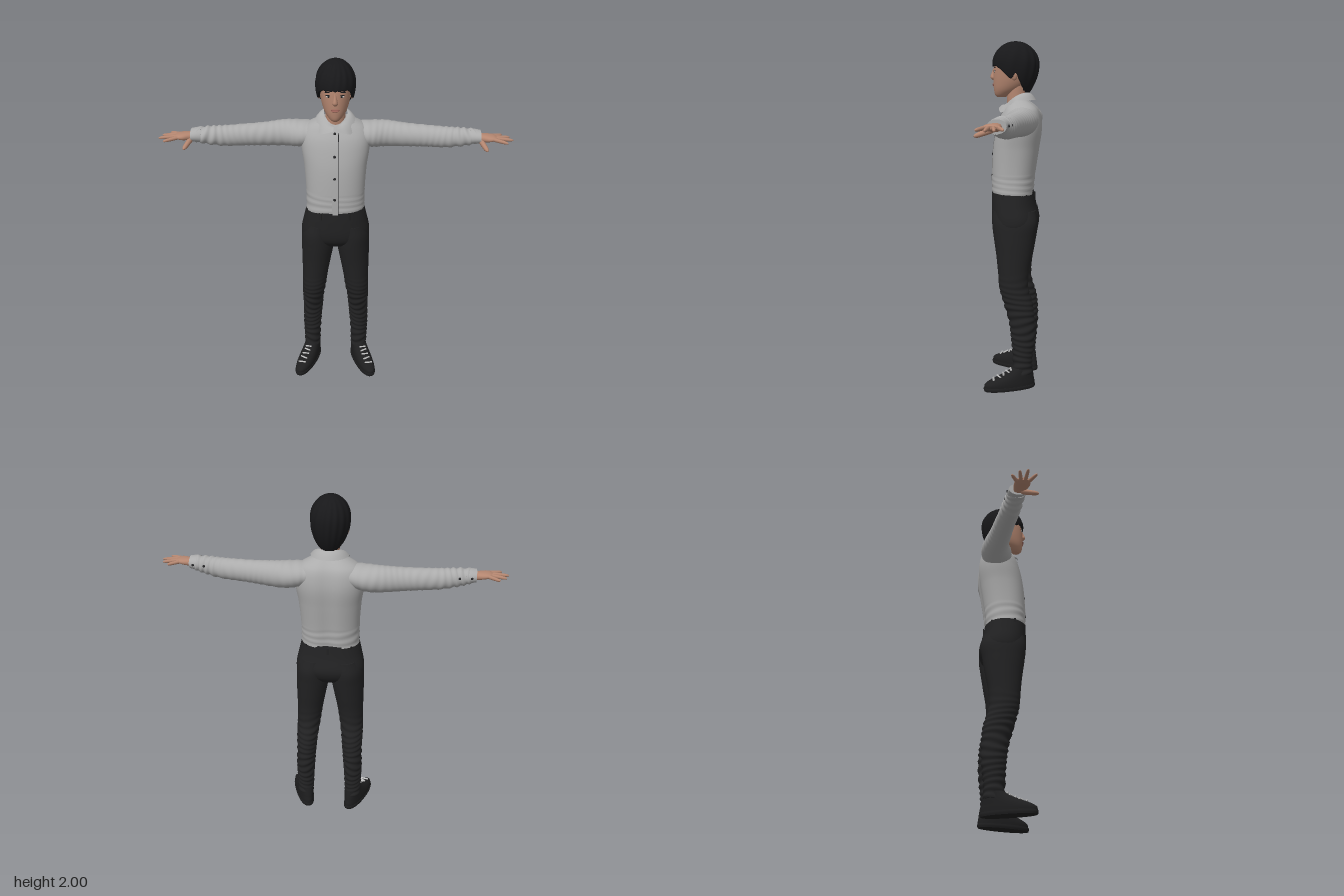
import * as THREE from 'three';

const mat = (name, color, side = THREE.FrontSide) => {
  const m = new THREE.MeshStandardMaterial({ color, side });
  m.name = name;
  return m;
};

// Surface from a rule fn(u, v); wrap closes it along u
function grid(fn, nu, nv, wrap = false) {
  const pos = [], idx = [], w = wrap ? nu : nu + 1;
  for (let j = 0; j <= nv; j++) for (let i = 0; i < w; i++) pos.push(...fn(i / nu, j / nv, j));
  for (let j = 0; j < nv; j++) for (let i = 0; i < nu; i++) {
    const a = j * w + i, b = j * w + (i + 1) % w;
    idx.push(a, b, b + w, a, b + w, a + w);
  }
  const g = new THREE.BufferGeometry();
  g.setAttribute('position', new THREE.Float32BufferAttribute(pos, 3));
  g.setIndex(idx);
  g.computeVertexNormals();
  return g;
}

// Smooth interpolation of rows [key, ...values]
function sample(rows, k) {
  const n = rows.length - 1;
  let i = 0;
  while (i < n - 1 && k > rows[i + 1][0]) i++;
  const a = rows[i], b = rows[i + 1], p = rows[Math.max(i - 1, 0)], q = rows[Math.min(i + 2, n)];
  const h = b[0] - a[0], t = THREE.MathUtils.clamp((k - a[0]) / h, 0, 1), t2 = t * t, t3 = t2 * t;
  return a.slice(1).map((y0, c) => {
    const y1 = b[c + 1];
    const m0 = h * (y1 - p[c + 1]) / (b[0] - p[0]), m1 = h * (q[c + 1] - y0) / (q[0] - a[0]);
    return (2 * t3 - 3 * t2 + 1) * y0 + (t3 - 2 * t2 + t) * m0 + (3 * t2 - 2 * t3) * y1 + (t3 - t2) * m1;
  });
}

// Capped body of oval rings [y, cx, cz, rx, rz]; along x the rings are [x, cz, cy, rz, ry]
function loft(rows, { axis = 'y', p = 2, nu = 32, nv = 40, fold = () => 0, shape = v => v } = {}) {
  const k0 = rows[0][0], k1 = rows[rows.length - 1][0];
  const pw = s => Math.sign(s) * Math.abs(s) ** (2 / p);
  return grid((u, _, j) => {
    const k = k0 + (k1 - k0) * THREE.MathUtils.clamp((j - 2) / nv, 0, 1);
    const [cx, cz, rx, rz] = sample(rows, k), t = u * Math.PI * 2;
    const open = j === 0 || j === nv + 4 ? 0 : 1;
    const f = fold(k) * Math.sin(k * 160 + 2.5 * Math.sin(t + k * 20));
    const v = shape([cx + open * (rx + f) * pw(Math.sin(t)), k, cz + open * (rz + f) * pw(Math.cos(t))]);
    return axis === 'y' ? v : [v[1], v[2], v[0]];
  }, nu, nv + 4, true);
}

// Front surface depth of a vertical loft
function frontZ(rows, x, y, p = 2) {
  const [cx, cz, rx, rz] = sample(rows, y);
  return cz + rz * Math.max(0, 1 - Math.abs((x - cx) / rx) ** p) ** (1 / p);
}

function mirrored(geo) {
  const g = geo.clone().scale(-1, 1, 1), ix = g.index;
  for (let i = 0; i < ix.count; i += 3) {
    const a = ix.getX(i);
    ix.setX(i, ix.getX(i + 1));
    ix.setX(i + 1, a);
  }
  g.computeVertexNormals();
  return g;
}

// Tapered digit from one point to another
function digit(a, b, r) {
  const from = new THREE.Vector3(...a), d = new THREE.Vector3(...b).sub(from), L = d.length();
  const g = loft([[0, 0, 0, r, r], [L * 0.5, 0, 0, r * 0.95, r * 0.9], [L * 0.88, 0, 0, r * 0.75, r * 0.7],
    [L, 0, 0, r * 0.25, r * 0.25]], { nu: 10, nv: 12 });
  g.applyQuaternion(new THREE.Quaternion().setFromUnitVectors(new THREE.Vector3(0, 1, 0), d.normalize()));
  return g.translate(...a);
}

export function createModel() {
  const root = new THREE.Group();
  root.name = 'standingMan';
  const shirt = mat('shirtGrey', 0xacacac, THREE.DoubleSide), trousers = mat('trouserBlack', 0x222223);
  const skin = mat('skin', 0xb48670), hair = mat('hairBlack', 0x18181a, THREE.DoubleSide);
  const shoe = mat('shoeBlack', 0x1e1e1f), lace = mat('laceGrey', 0xb8b8b8);
  const dark = mat('buttonDark', 0x262628), lip = mat('lipRose', 0x9a6258), white = mat('eyeWhite', 0xc9c2bc);

  const add = (name, geo, m) => {
    const mesh = new THREE.Mesh(geo, m);
    mesh.name = name;
    root.add(mesh);
  };
  const pair = (name, geo, m) => {
    add(name + 'Left', geo, m);
    add(name + 'Right', mirrored(geo), m);
  };
  const blob = (x, y, z, sx, sy, sz) => new THREE.SphereGeometry(1, 20, 14).scale(sx, sy, sz).translate(x, y, z);

  // Shirt body, with a shallow groove along the spine
  const torso = [[1.14, 0, 0.005, 0.166, 0.121], [1.25, 0, 0, 0.166, 0.127], [1.4, 0, -0.015, 0.176, 0.134],
    [1.5, 0, -0.03, 0.19, 0.132], [1.57, 0, -0.038, 0.19, 0.12], [1.62, 0, -0.043, 0.165, 0.1],
    [1.65, 0, -0.038, 0.118, 0.078], [1.675, 0, -0.03, 0.065, 0.05]];
  add('shirtBody', loft(torso, { p: 2.3, nu: 56, nv: 60, fold: k => k < 1.25 ? 0.0015 : 0,
    shape: ([x, y, z]) => [x, y, z < -0.05 ? z + 0.014 * Math.exp(-((x / 0.045) ** 2)) : z] }), shirt);
  add('placket', grid((u, v) => {
    const x = (u - 0.5) * 0.032, y = 1.142 + v * 0.485;
    return [x, y, frontZ(torso, x, y, 2.3) + 0.003];
  }, 4, 40), shirt);
  add('placketSeam', grid((u, v) => {
    const x = 0.016 + u * 0.003, y = 1.142 + v * 0.47;
    return [x, y, frontZ(torso, x, y, 2.3) + 0.0035];
  }, 1, 40), dark);
  for (const y of [1.24, 1.365, 1.49, 1.608])
    add('shirtButton', blob(-0.003, y, frontZ(torso, 0, y, 2.3) + 0.004, 0.008, 0.008, 0.004), dark);

  // Folded collar, open at the throat with two points
  add('collar', grid((u, v) => {
    const a = 0.1 + u * (Math.PI * 2 - 0.2), d = Math.min(a, Math.PI * 2 - a), f = (1 + Math.cos(a)) / 2;
    const top = 1.715 - 0.07 * f * f;
    const low = d < 0.75 ? 1.632 - 0.036 * d : 1.605 + 0.068 * THREE.MathUtils.smoothstep(d, 0.75, 1.7);
    const r = 0.064 + 0.042 * v + 0.012 * v * Math.exp(-(((d - 0.75) / 0.3) ** 2));
    return [r * Math.sin(a), top + (low - top) * v + 0.008 * Math.sin(v * Math.PI), -0.018 + r * Math.cos(a)];
  }, 64, 6), shirt);

  // Sleeves and cuffs
  pair('sleeve', loft([[0.1, -0.05, 1.575, 0.085, 0.06], [0.2, -0.06, 1.563, 0.09, 0.073], [0.28, -0.067, 1.562, 0.074, 0.073],
    [0.4, -0.05, 1.56, 0.062, 0.065], [0.5, -0.036, 1.56, 0.057, 0.061], [0.6, -0.02, 1.56, 0.054, 0.058],
    [0.7, -0.004, 1.568, 0.05, 0.05], [0.77, 0.006, 1.575, 0.046, 0.038]],
  { axis: 'x', nv: 110, fold: k => 0.001 + 0.003 * THREE.MathUtils.smoothstep(k, 0.55, 0.7) }), shirt);
  pair('cuff', loft([[0.735, 0.002, 1.574, 0.05, 0.042], [0.76, 0.006, 1.576, 0.05, 0.039], [0.79, 0.011, 1.576, 0.048, 0.035]],
    { axis: 'x', nv: 8 }), shirt);
  for (const x of [0.7, 0.765]) pair('cuffButton', blob(x, 1.578, -0.045 - (0.765 - x) * 0.12, 0.007, 0.007, 0.004), dark);

  // Hands, palms down with spread fingers
  pair('palm', loft([[0.76, 0.012, 1.573, 0.028, 0.02], [0.795, 0.018, 1.573, 0.032, 0.021], [0.83, 0.026, 1.575, 0.042, 0.019],
    [0.86, 0.029, 1.577, 0.04, 0.014], [0.876, 0.03, 1.577, 0.03, 0.008]], { axis: 'x', p: 2.3, nu: 24, nv: 18 }), skin);
  for (const [bx, bz, tx, tz] of [[0.855, 0.057, 0.93, 0.094], [0.862, 0.04, 0.965, 0.046], [0.862, 0.019, 0.952, 0.003], [0.85, 0, 0.915, -0.034]])
    pair('finger', digit([bx, 1.577, bz], [tx, 1.569, tz], 0.0105), skin);
  pair('thumb', digit([0.79, 1.562, 0.03], [0.82, 1.532, 0.115], 0.015), skin);

  // Trousers: hips, waistband loops and legs
  const hips = [[0.91, 0, -0.01, 0.15, 0.09], [0.95, 0, -0.01, 0.19, 0.122], [1.0, 0, -0.01, 0.197, 0.136],
    [1.08, 0, 0.001, 0.181, 0.128], [1.15, 0, 0.006, 0.165, 0.121]];
  add('trouserHips', loft(hips, { p: 2.25, nu: 48 }), trousers);
  for (const a of [0.5, 1.2, 2.3, 3.14, 3.98, 5.08, 5.78])
    add('beltLoop', new THREE.BoxGeometry(0.012, 0.04, 0.006).rotateY(a)
      .translate(0.171 * Math.sin(a), 1.125, 0.005 + 0.126 * Math.cos(a)), trousers);
  pair('trouserLeg', loft([[0.09, 0.148, -0.064, 0.046, 0.056], [0.15, 0.148, -0.062, 0.048, 0.056], [0.3, 0.146, -0.064, 0.054, 0.068],
    [0.42, 0.14, -0.055, 0.058, 0.077], [0.5, 0.137, -0.038, 0.062, 0.084], [0.6, 0.129, -0.01, 0.07, 0.084],
    [0.7, 0.121, -0.006, 0.077, 0.09], [0.8, 0.112, -0.009, 0.087, 0.104], [0.9, 0.103, -0.01, 0.096, 0.12],
    [0.98, 0.099, -0.011, 0.096, 0.13], [1.05, 0.085, -0.006, 0.09, 0.125]],
  { nv: 140, fold: k => 0.0035 * (1 - THREE.MathUtils.smoothstep(k, 0.5, 0.72)) }), trousers);

  // Shoes, toes turned out
  const place = g => g.rotateY(0.37).translate(0.175, 0, 0.012);
  pair('shoeSole', place(loft([[0, 0, 0, 0.05, 0.152], [0.012, 0, 0, 0.053, 0.156], [0.022, 0, 0, 0.052, 0.154]], { p: 2.3, nv: 6 })), shoe);
  const upper = [[0.018, 0, 0, 0.05, 0.152], [0.04, 0, -0.002, 0.051, 0.15], [0.06, 0, -0.016, 0.05, 0.132],
    [0.08, 0, -0.04, 0.048, 0.105], [0.105, 0, -0.065, 0.045, 0.075], [0.13, 0, -0.08, 0.043, 0.054]];
  pair('shoeUpper', place(loft(upper, { p: 2.2 })), shoe);
  for (let i = 0; i < 5; i++) {
    const y = 0.068 + i * 0.012, z = frontZ(upper, 0, y, 2.2);
    pair('shoeLace', place(new THREE.BoxGeometry(0.046 - i * 0.002, 0.008, 0.009).rotateX(-0.6)
      .rotateY(i % 2 ? 0.2 : -0.2).translate(0, y + 0.002, z)), lace);
  }

  // Neck and head
  add('neck', loft([[1.61, 0, -0.025, 0.062, 0.06], [1.67, 0, -0.014, 0.054, 0.056], [1.78, 0, -0.02, 0.054, 0.06]], { nv: 12 }), skin);
  const face = [[1.688, 0, 0.075, 0.018, 0.022], [1.7, 0, 0.062, 0.034, 0.047], [1.73, 0, 0.038, 0.057, 0.078],
    [1.77, 0, 0.017, 0.073, 0.102], [1.82, 0, 0.006, 0.083, 0.113], [1.87, 0, 0, 0.088, 0.115],
    [1.92, 0, 0, 0.08, 0.105], [1.96, 0, 0, 0.05, 0.07]];
  add('head', loft(face, { nv: 60 }), skin);
  add('nose', loft([[1.785, 0, 0.11, 0.01, 0.016], [1.796, 0, 0.112, 0.017, 0.023], [1.808, 0, 0.112, 0.014, 0.023],
    [1.835, 0, 0.108, 0.008, 0.016], [1.855, 0, 0.104, 0.006, 0.011]], { nu: 16, nv: 16 }), skin);
  for (const [y, s] of [[1.761, 1], [1.754, 0.8]])
    add('lip', blob(0, y, frontZ(face, 0, y) - 0.001, 0.025 * s, 0.0045, 0.006), lip);
  const onFace = (x, y) => frontZ(face, x, y);
  pair('eyeWhite', blob(0.034, 1.832, onFace(0.034, 1.832) - 0.001, 0.015, 0.006, 0.004), white);
  pair('iris', blob(0.034, 1.832, onFace(0.034, 1.832) + 0.001, 0.0065, 0.006, 0.003), dark);
  pair('upperEyelid', blob(0.035, 1.838, onFace(0.035, 1.838), 0.017, 0.0025, 0.005).rotateY(0), hair);
  pair('eyebrow', blob(0.036, 1.855, onFace(0.036, 1.855) - 0.001, 0.02, 0.0045, 0.005), hair);
  pair('ear', blob(0.088, 1.812, -0.008, 0.012, 0.03, 0.018), skin);

  // Hair cap: straight fringe, sideburns and a tapered nape, with ripples for locks
  const hairline = [[0, 1.862], [0.7, 1.858], [1.15, 1.82], [1.4, 1.79], [1.65, 1.82], [1.9, 1.77], [2.3, 1.725], [Math.PI, 1.708]];
  add('hair', grid((u, w) => {
    const t = u * Math.PI * 2, d = Math.min(t, Math.PI * 2 - t), v = 1 - w;
    const tuck = w < 0.02 ? 0.86 : 1, q = Math.min(1, v * 40 / 39);
    const edge = sample(hairline, d)[0] + 0.006 * Math.abs(Math.sin(t * 11 + Math.sin(t * 3))) - 0.003;
    const y = 1.998 - (1.998 - edge) * (1 - Math.cos(q * Math.PI * 0.5)) ;
    const h = y - 1.87;
    const s = h > 0 ? Math.sqrt(Math.max(0, 1 - (h / 0.128) ** 2)) : 1 - 0.42 * (h / 0.16) ** 2;
    const r = s * tuck * (1 + 0.018 * Math.sin(q * 3) * Math.sin(t * 15 + q * 5 + 2 * Math.sin(t * 2)));
    return [0.108 * r * Math.sin(t), y, -0.008 + 0.132 * r * Math.cos(t)];
  }, 120, 40, true), hair);

  return root;
}
